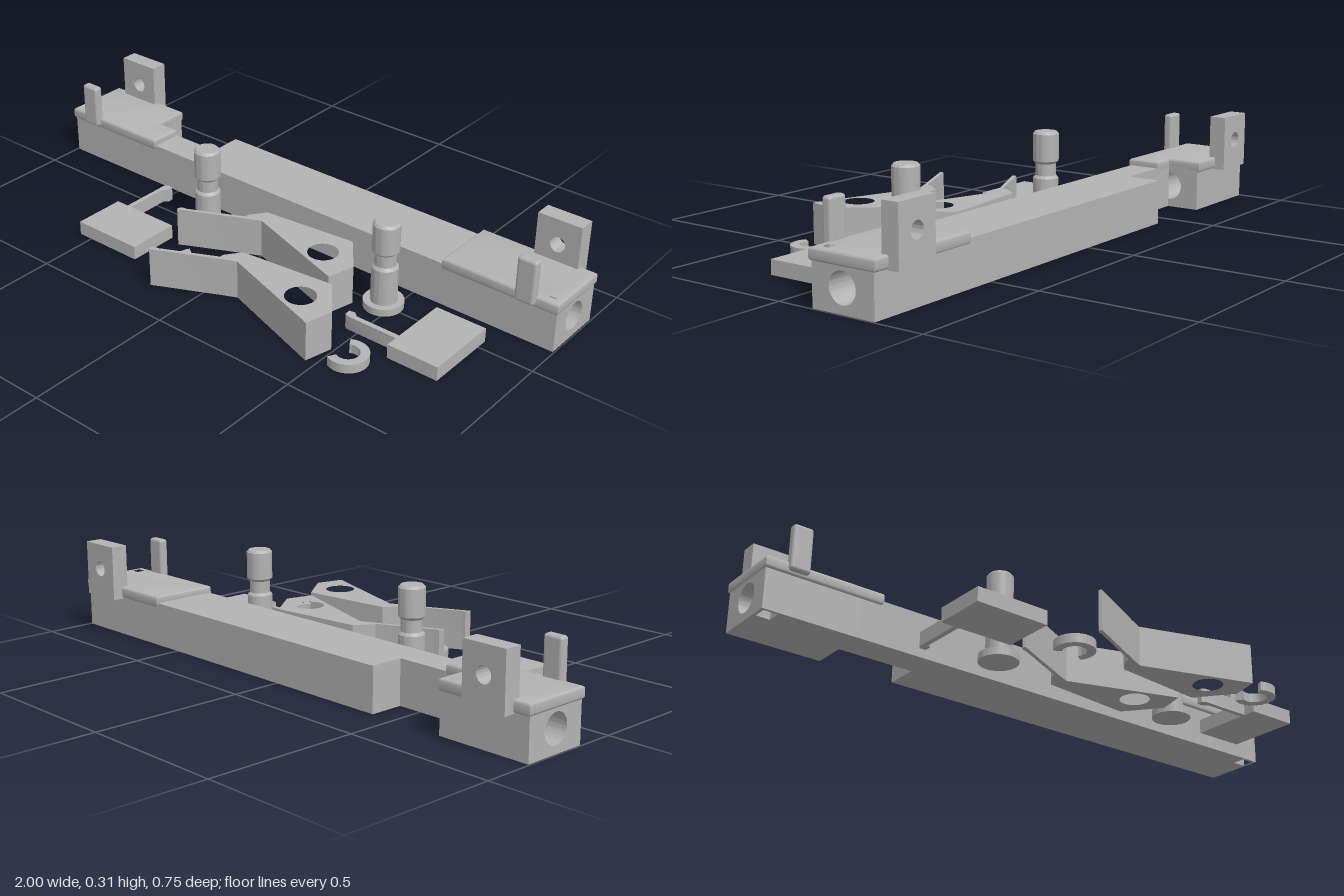
import * as THREE from 'three';
import { toCreasedNormals } from 'three/addons/utils/BufferGeometryUtils.js';
import { RoundedBoxGeometry } from 'three/addons/geometries/RoundedBoxGeometry.js';

const grey = new THREE.MeshStandardMaterial({ color: 0xb3b3b3 });
grey.name = 'grey plastic';

const rect = (x0, x1, z0, z1) => [[x0, z0], [x1, z0], [x1, z1], [x0, z1]];
const mirror = (pts, s) => pts.map(([x, z]) => [x * s, z]);
const circle = (x, y, r) => new THREE.Path().absarc(x, y, r, 0, Math.PI * 2, true);
const outline = (pts) => pts.map(([x, z]) => new THREE.Vector2(x, -z));

function extrude(shape, depth, bevel = 0) {
  const geo = new THREE.ExtrudeGeometry(shape, {
    depth: depth - 2 * bevel, curveSegments: 24, bevelEnabled: bevel > 0,
    bevelSize: bevel, bevelThickness: bevel, bevelOffset: -bevel, bevelSegments: 3,
  });
  geo.translate(0, 0, bevel);
  return toCreasedNormals(geo, 0.6);
}

// Plan outline of [x, z] points raised from y0 to y1
function slab(pts, y0, y1, holes = [], bevel = 0) {
  const shape = new THREE.Shape(outline(pts));
  shape.holes.push(...holes);
  return extrude(shape, y1 - y0, bevel).rotateX(-Math.PI / 2).translate(0, y0, 0);
}

export function createModel() {
  const model = new THREE.Group();
  model.name = 'mechanism kit';
  const add = (name, geo, parent = model) => {
    const mesh = new THREE.Mesh(geo, grey);
    mesh.name = name;
    parent.add(mesh);
    return mesh;
  };

  // Long bar with a notch in its back
  const TOP = 0.145, FRONT = -0.12, BACK = -0.337, NOTCH = -0.225;
  add('barMiddle', slab([
    [-0.68, FRONT], [0.68, FRONT], [0.68, BACK], [-0.42, BACK], [-0.42, NOTCH], [-0.68, NOTCH],
  ], 0, TOP));

  for (const s of [-1, 1]) {
    const end = new THREE.Group();
    end.name = s > 0 ? 'leftEnd' : 'rightEnd';
    model.add(end);
    const square = () => new THREE.Path(outline(mirror(rect(0.94, 0.986, -0.175, -0.13), s)));

    // End block: front strip with a square shaft, back strip with a round bore
    add('endFront', slab(mirror(rect(0.68, 0.996, -0.178, FRONT), s), 0, TOP, [square()]), end);
    const bored = new THREE.Shape([
      new THREE.Vector2(0.178, 0), new THREE.Vector2(-BACK, 0),
      new THREE.Vector2(-BACK, TOP), new THREE.Vector2(0.178, TOP),
    ]);
    bored.holes.push(circle(0.227, 0.073, 0.047));
    const bore = extrude(bored, 0.316).rotateY(Math.PI / 2);
    add('endBore', bore.translate(s > 0 ? 0.68 : -0.996, 0, 0), end);

    // Rounded cover; the one beside the notch has a cut corner
    const cover = s > 0 ? rect(0.6, 1, -0.343, -0.113) : [
      [-1, -0.113], [-0.6, -0.113], [-0.6, NOTCH], [-0.68, NOTCH], [-0.68, -0.343], [-1, -0.343],
    ];
    add('cover', slab(cover, 0.13, 0.168, [square()], 0.008), end);

    // Upright front tab
    const tab = add('frontTab', new RoundedBoxGeometry(0.066, 0.15, 0.032, 3, 0.01), end);
    tab.position.set(s * 0.895, 0.215, -0.111);

    // Upright back plate with a hole
    const plate = new THREE.Shape([
      new THREE.Vector2(-0.075, 0.127), new THREE.Vector2(0.075, 0.127),
      new THREE.Vector2(0.075, 0.31), new THREE.Vector2(-0.075, 0.31),
    ]);
    plate.holes.push(circle(0, 0.225, 0.026));
    add('backPlate', extrude(plate, 0.057).translate(s * 0.87, 0, -0.377), end);
  }

  // Turned posts with a foot, a neck and a bevelled head
  const profile = [
    [0, 0], [0.064, 0], [0.064, 0.024], [0.042, 0.024], [0.042, 0.144], [0.034, 0.153],
    [0.034, 0.193], [0.043, 0.202], [0.043, 0.292], [0.036, 0.3], [0, 0.3],
  ].map(([r, y]) => new THREE.Vector2(r, y));
  for (const x of [-0.25, 0.47]) {
    const post = add('post', toCreasedNormals(new THREE.LatheGeometry(profile, 40), 0.6));
    post.position.set(x, 0, -0.002);
  }

  // Two lever arms with a pivot hole and a hooked tail
  const arm = [
    [-0.262, 0.132], [-0.252, 0.12], [-0.238, 0.118], [-0.058, 0.032], [-0.058, 0.018],
    [-0.02, -0.033], [0.3, -0.065], [0.39, 0.05], [0.367, 0.143], [0, 0.02],
    [-0.045, 0.04], [-0.23, 0.128], [-0.256, 0.141],
  ];
  for (const [x, z] of [[0, 0], [0.1, 0.235]]) {
    const lever = add('leverArm', slab(arm, 0, 0.132, [circle(0.267, -0.043, 0.049)]));
    lever.position.set(x, 0, z);
  }

  // Flat paddles with a thin hooked stem
  add('rightPaddle', slab([
    [-0.55, 0.122], [-0.505, 0.122], [-0.505, -0.055], [-0.497, -0.066], [-0.476, -0.066],
    [-0.474, -0.045], [-0.488, -0.032], [-0.488, 0.122], [-0.3, 0.122], [-0.3, 0.3], [-0.55, 0.3],
  ], 0, 0.047));
  add('leftPaddle', slab([
    [0.64, -0.038], [0.815, -0.038], [0.815, 0.215], [0.64, 0.215], [0.64, 0.173], [0.462, 0.173],
    [0.45, 0.165], [0.45, 0.146], [0.47, 0.143], [0.485, 0.156], [0.64, 0.156],
  ], 0, 0.047));

  // Open retaining clips; the gap faces the given angle
  for (const [x, z, gap, half] of [[-0.123, 0.21, Math.PI / 2, 0.95], [0.56, 0.298, Math.PI, 1.05]]) {
    const a = gap + half, b = gap - half + Math.PI * 2;
    const ring = new THREE.Shape();
    ring.absarc(0, 0, 0.065, a, b, false);
    ring.absarc(0, 0, 0.037, b, a, true);
    const clip = add('clip', extrude(ring, 0.03).rotateX(-Math.PI / 2));
    clip.position.set(x, 0, z);
  }
  return model;
}
